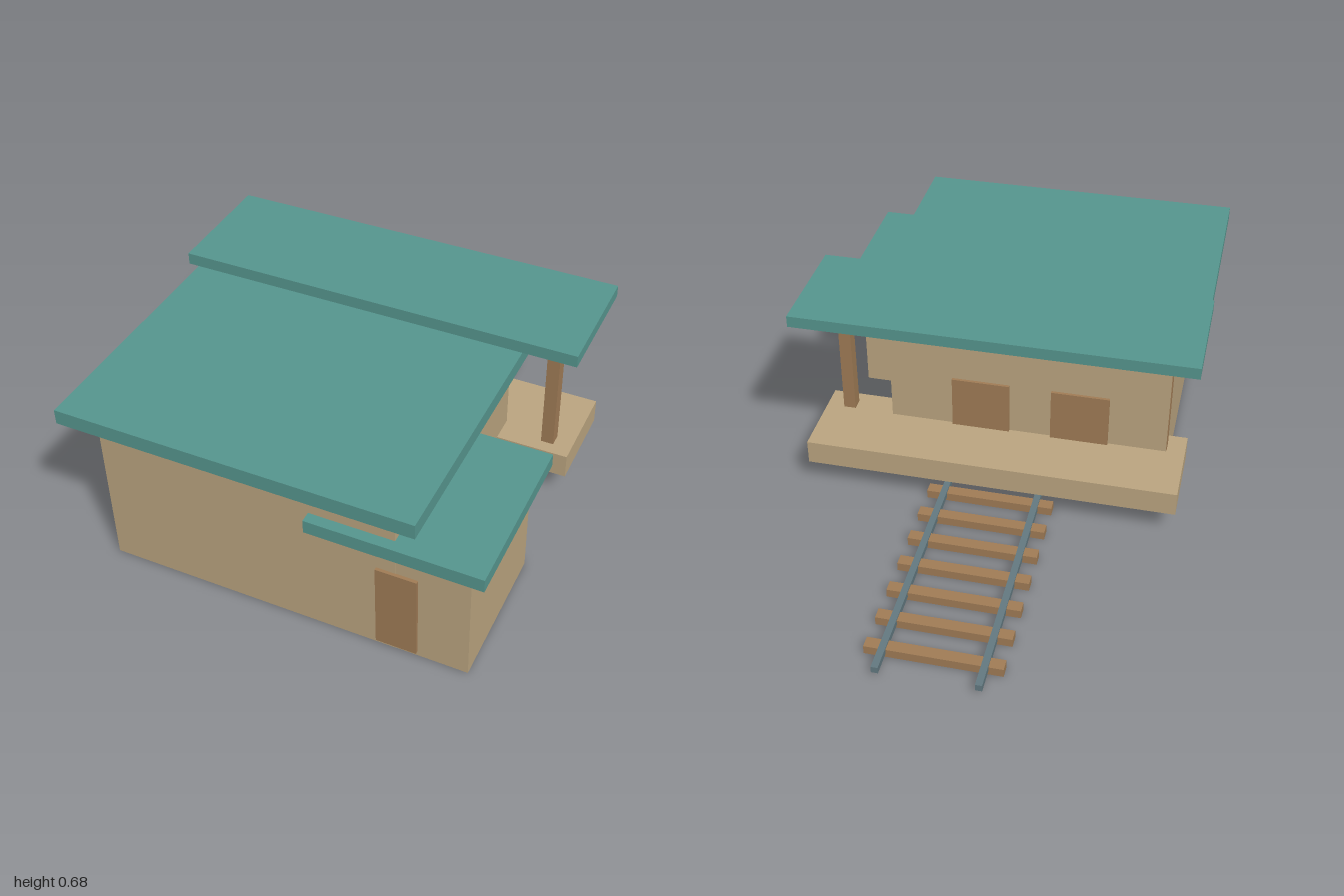
import * as THREE from 'three';

export function createModel() {
  const model = new THREE.Group();
  const mat = (color) => new THREE.MeshStandardMaterial({ color });
  const wall = mat(0xbba580);
  const roof = mat(0x56968e);
  const wood = mat(0xa07c56);
  const steel = mat(0x637980);

  // Adds a box given its extents along each axis
  function box(name, material, [x0, x1], [y0, y1], [z0, z1], parent = model) {
    const mesh = new THREE.Mesh(new THREE.BoxGeometry(x1 - x0, y1 - y0, z1 - z0), material);
    mesh.position.set((x0 + x1) / 2, (y0 + y1) / 2, (z0 + z1) / 2);
    mesh.name = name;
    parent.add(mesh);
    return mesh;
  }

  // Main hall and side annex with their flat roofs
  box('mainHall', wall, [-0.575, 0.39], [0.003, 0.56], [0.03, 0.93]);
  box('mainRoof', roof, [-0.665, 0.48], [0.56, 0.61], [-0.04, 1.0]);
  box('annex', wall, [0.17, 0.62], [0.003, 0.405], [0.455, 0.929]);
  box('annexRoof', roof, [0.12, 0.67], [0.405, 0.45], [0.415, 0.965]);

  // Doors: one at the front, two onto the platform
  box('frontDoor', wood, [0.33, 0.46], [0.02, 0.32], [0.91, 0.94]);
  for (const x of [0.07, -0.275]) {
    box('platformDoor', wood, [x - 0.1, x + 0.1], [0.02, 0.37], [0.02, 0.05]);
  }

  // Platform, canopy and its row of posts
  box('platform', wall, [-0.64, 0.632], [0.095, 0.18], [-0.19, 0.12]);
  box('canopy', roof, [-0.675, 0.665], [0.64, 0.68], [-0.175, 0.225]);
  for (let i = 0; i < 4; i++) {
    const x = -0.556 + i * 0.3685;
    box('canopyPost', wood, [x - 0.021, x + 0.021], [0.17, 0.64], [0.034, 0.078]);
  }

  // Railway track, running under the platform and hall
  const track = new THREE.Group();
  track.name = 'track';
  model.add(track);
  for (let i = 0; i < 11; i++) {
    const z = -0.9 + i * 0.1238;
    box('sleeper', wood, [-0.222, 0.214], [0, 0.03], [z - 0.02, z + 0.02], track);
  }
  for (const x of [-0.164, 0.155]) {
    box('rail', steel, [x - 0.011, x + 0.011], [0.013, 0.036], [-1, 0.42], track);
  }

  return model;
}
